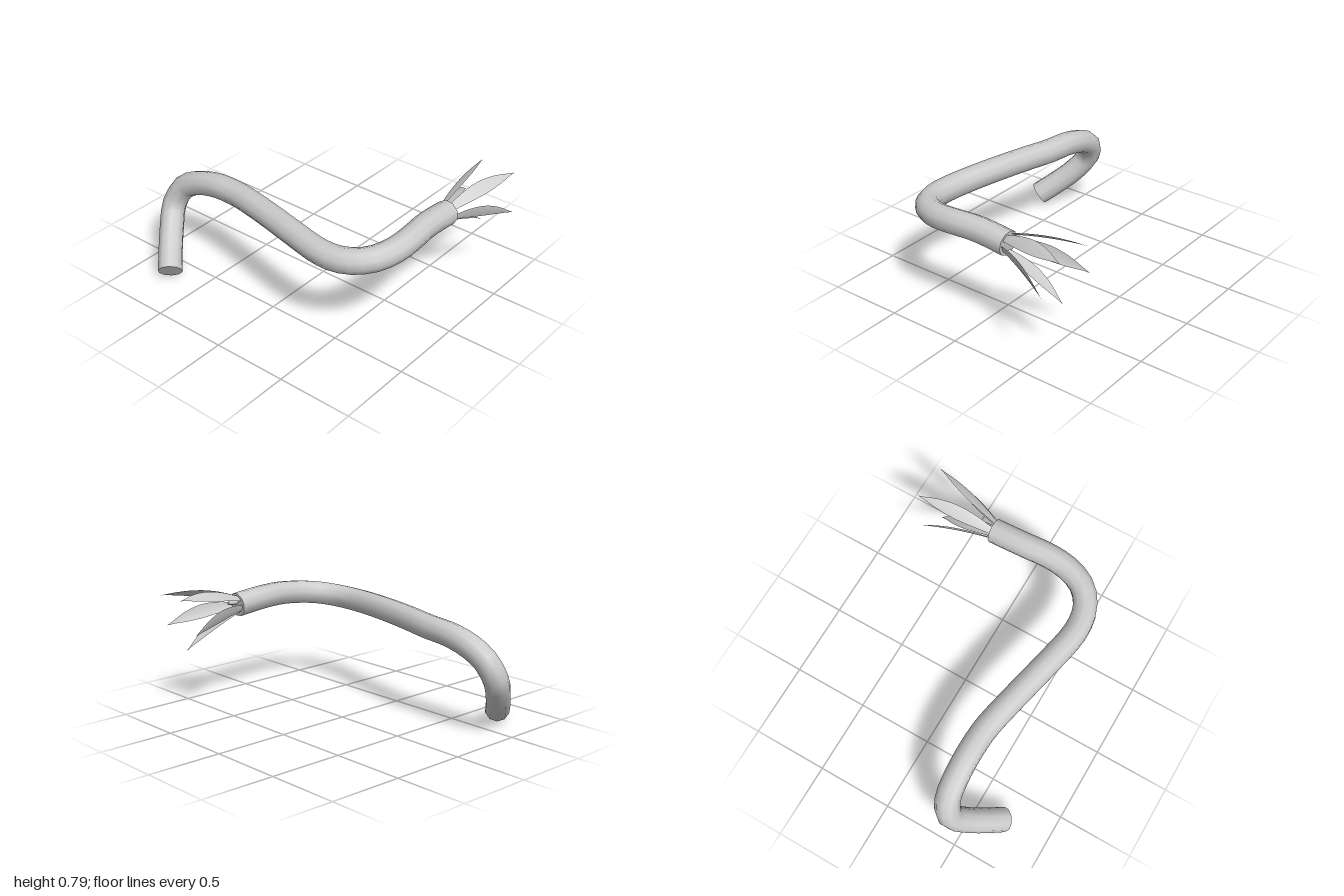
import * as THREE from 'three';

const RADIUS = 0.08;
const SIDES = 10;

export function createModel() {
  const group = new THREE.Group();
  const material = new THREE.MeshStandardMaterial({ color: 0xcccccc });
  const leafMaterial = new THREE.MeshStandardMaterial({ color: 0xcccccc, side: THREE.DoubleSide });
  const add = (name, geometry, mat = material) => {
    const mesh = new THREE.Mesh(geometry, mat);
    mesh.name = name;
    group.add(mesh);
    return mesh;
  };

  // Winding stem
  const path = new THREE.CatmullRomCurve3([
    [-0.71, 0.07, 0.70], [-0.79, 0.15, 0.61], [-0.87, 0.25, 0.51], [-0.92, 0.37, 0.425],
    [-0.87, 0.49, 0.38], [-0.76, 0.56, 0.365], [-0.6, 0.605, 0.36], [-0.4, 0.62, 0.37],
    [-0.2, 0.628, 0.41], [0, 0.63, 0.455], [0.2, 0.627, 0.50], [0.38, 0.622, 0.535],
    [0.5, 0.622, 0.54], [0.62, 0.63, 0.51], [0.72, 0.645, 0.43], [0.775, 0.66, 0.3],
    [0.786, 0.673, 0.15], [0.775, 0.675, 0], [0.772, 0.667, -0.12], [0.772, 0.655, -0.24],
  ].map(p => new THREE.Vector3(...p)));
  add('stem', new THREE.TubeGeometry(path, 44, RADIUS, SIDES, false));

  // Caps closing both ends of the stem, turned to match the tube's rings
  const frames = path.computeFrenetFrames(44, false);
  const addCap = (name, t, sign) => {
    const i = t * 44;
    const out = frames.tangents[i].clone().multiplyScalar(sign);
    const xAxis = frames.normals[i].clone().negate();
    const cap = add(name, new THREE.CircleGeometry(RADIUS, SIDES));
    cap.quaternion.setFromRotationMatrix(
      new THREE.Matrix4().makeBasis(xAxis, out.clone().cross(xAxis), out));
    cap.position.copy(path.getPointAt(t));
  };
  addCap('lowerCap', 0, -1);
  addCap('flowerCap', 1, 1);

  // Small pistil in the middle of the flower
  const pistil = add('pistil', new THREE.CylinderGeometry(0.012, 0.02, 0.08, 6));
  pistil.rotation.x = -Math.PI / 2;
  pistil.position.set(0.775, 0.675, -0.27);

  // Petals: thin pointed blades that widen, then taper along a bowed curve
  const centre = new THREE.Vector3(0.772, 0.657, -0.23);
  const addPetal = (angle, tip) => {
    const a = THREE.MathUtils.degToRad(angle);
    const radial = new THREE.Vector3(Math.cos(a), Math.sin(a), 0);
    const across = new THREE.Vector3(-Math.sin(a), Math.cos(a), 0);
    const base = centre.clone().addScaledVector(radial, 0.055);
    const end = new THREE.Vector3(...tip);
    const control = base.clone().lerp(end, 0.5);
    control.y += 0.05;
    const spine = new THREE.QuadraticBezierCurve3(base, control, end);
    const width = new THREE.SplineCurve([[0, 0.022], [0.2, 0.038], [0.42, 0.045], [0.7, 0.031], [1, 0.001]]
      .map(p => new THREE.Vector2(...p)));
    const blade = new THREE.PlaneGeometry(1, 1, 2, 12);
    const pos = blade.attributes.position;
    for (let i = 0; i < pos.count; i++) {
      const side = pos.getX(i) * 2;
      const t = pos.getY(i) + 0.5;
      const w = width.getPoint(t).y;
      const p = spine.getPoint(t)
        .addScaledVector(across, side * w)
        .addScaledVector(radial, -0.15 * w * side * side);
      pos.setXYZ(i, p.x, p.y, p.z);
    }
    blade.computeVertexNormals();
    add('petal', blade, leafMaterial);
  };
  addPetal(126, [0.69, 0.775, -0.75]);
  addPetal(54, [0.93, 0.77, -0.73]);
  addPetal(-18, [0.99, 0.545, -0.65]);
  addPetal(-90, [0.79, 0.41, -0.645]);
  addPetal(-162, [0.61, 0.55, -0.70]);

  return group;
}
